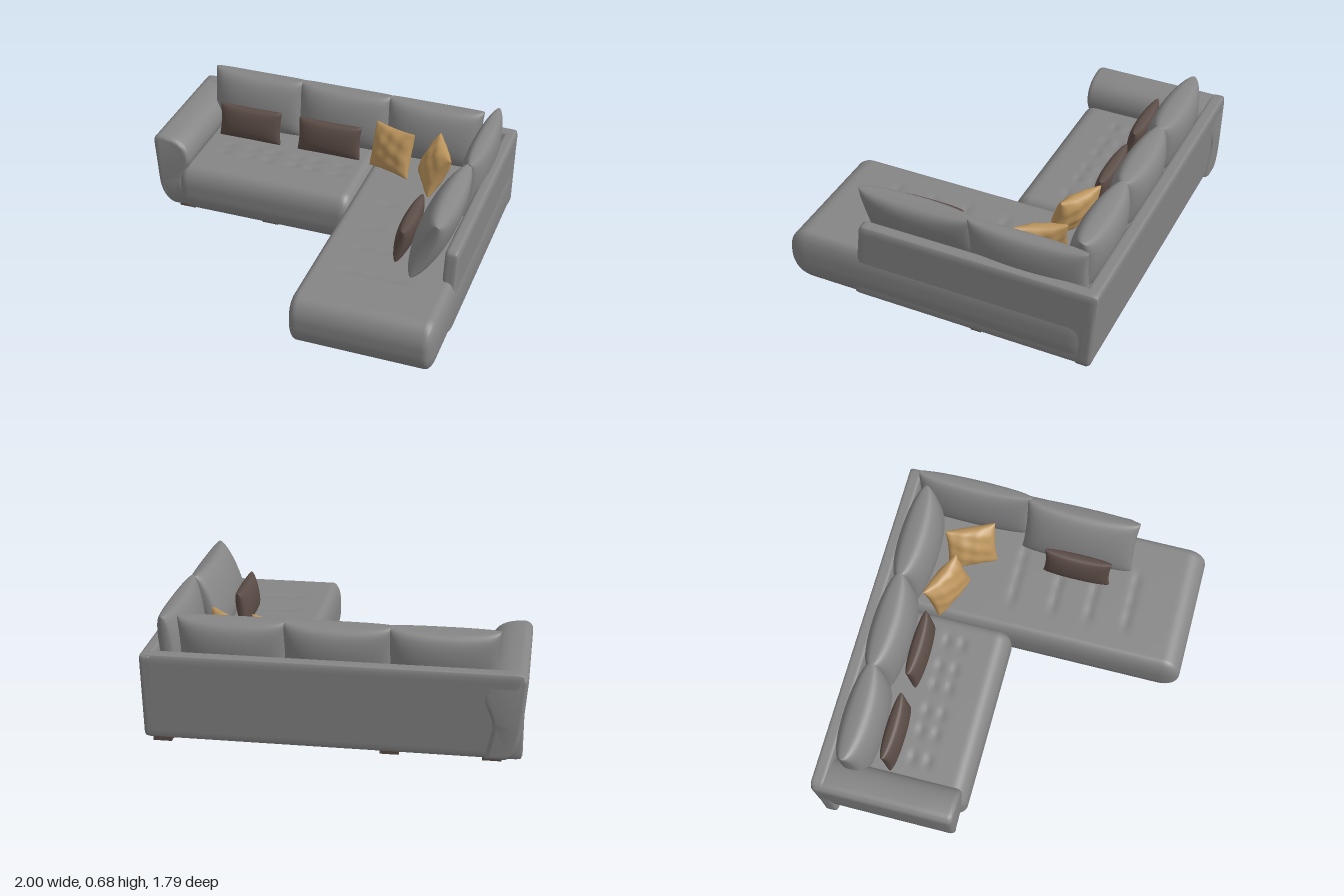
import * as THREE from 'three';
import { mergeVertices, toCreasedNormals } from 'three/addons/utils/BufferGeometryUtils.js';

const material = (name, color) => {
  const m = new THREE.MeshStandardMaterial({ color });
  m.name = name;
  return m;
};

// Moves every vertex by a rule, then welds and smooths the surface
function reshape(geometry, rule) {
  geometry.deleteAttribute('uv');
  geometry.deleteAttribute('normal');
  const p = geometry.attributes.position, v = new THREE.Vector3();
  for (let i = 0; i < p.count; i++) {
    v.fromBufferAttribute(p, i);
    rule(v);
    p.setXYZ(i, v.x, v.y, v.z);
  }
  const g = mergeVertices(geometry, 1e-5);
  g.computeVertexNormals();
  return g;
}

// Upholstered block between two corners, with its own rounding on each axis
function softBox(min, max, radius, segments, rule = () => {}) {
  const lo = new THREE.Vector3(...min), hi = new THREE.Vector3(...max);
  const size = hi.clone().sub(lo), mid = lo.clone().add(hi).multiplyScalar(0.5);
  const r = new THREE.Vector3(...radius);
  const inner = size.clone().multiplyScalar(0.5).sub(r);
  const core = new THREE.Vector3(), n = new THREE.Vector3();
  return reshape(new THREE.BoxGeometry(size.x, size.y, size.z, ...segments), (v) => {
    core.copy(v).clamp(inner.clone().negate(), inner);
    n.copy(v).sub(core).divide(r).normalize().multiply(r);
    v.copy(core).add(n).add(mid);
    rule(v);
  });
}

// Stuffed cushion: pointed corners, slightly hollow edges, full middle
function pillow(w, h, t, pinch, fullness, wrinkle = 0) {
  return reshape(new THREE.BoxGeometry(2, 2, 2, 28, 28, 1), (p) => {
    const u = Math.sin(p.x * Math.PI / 2), v = Math.sin(p.y * Math.PI / 2);
    const a = Math.max(0, 1 - u * u), b = Math.max(0, 1 - v * v);
    const fold = 1 + wrinkle * Math.sin(7 * u + 4 * v) * Math.cos(5 * v - 3 * u);
    p.set(w / 2 * u * (1 - pinch * b), h / 2 * v * (1 - pinch * a),
      Math.sign(p.z) * t / 2 * Math.pow(a * b, fullness) * fold);
  });
}

// Presses tufts into the top of a seat
const tuft = (points, sx, sz, depth) => (v) => {
  if (v.y < 0.25) return;
  for (const [x, z] of points) {
    v.y -= depth * Math.exp(-(((v.x - x) / sx) ** 2) - ((v.z - z) / sz) ** 2);
  }
};

export function createModel() {
  const group = new THREE.Group();
  const grey = material('greyFabric', 0x858585);
  const brown = material('brownFabric', 0x5a4b45);
  const gold = material('goldFabric', 0xba935b);

  const add = (name, geometry, mat, pos = [0, 0, 0], ry = 0, rx = 0, rz = 0) => {
    const mesh = new THREE.Mesh(geometry, mat);
    mesh.name = name;
    mesh.position.set(...pos);
    mesh.rotation.set(rx, ry, rz, 'YXZ');
    group.add(mesh);
  };

  // Main seat
  const seatTufts = [];
  for (const x of [-0.57, -0.29, -0.02]) {
    for (const dx of [-0.08, 0.08]) for (const z of [-0.43, -0.34]) seatTufts.push([x + dx, z]);
  }
  add('mainSeat', softBox([-0.85, 0.03, -0.86], [0.225, 0.332, -0.08], [0.06, 0.12, 0.09],
    [60, 16, 50], tuft(seatTufts, 0.035, 0.02, 0.01)), grey);

  // Chaise seat
  const chaiseTufts = [];
  for (const z of [-0.14, 0.1, 0.31, 0.53]) for (const x of [0.44, 0.56, 0.68]) chaiseTufts.push([x, z]);
  add('chaiseSeat', softBox([0.2, 0.03, -0.86], [0.995, 0.332, 0.895], [0.05, 0.13, 0.11],
    [50, 18, 100], tuft(chaiseTufts, 0.06, 0.02, 0.009)), grey);

  // Back wall, leaning outward toward the top
  const lean = (y) => 0.03 * (1 - (y - 0.03) / 0.48);
  add('backWall', softBox([-0.985, 0.03, -0.9], [0.99, 0.51, -0.82], [0.025, 0.02, 0.02],
    [60, 20, 10], (v) => { v.z += lean(v.y); }), grey);

  // Side wall with a sloping front edge
  add('sideWall', softBox([0.915, 0.03, -0.9], [0.992, 0.51, 0.44], [0.025, 0.025, 0.015],
    [10, 20, 60], (v) => {
      v.z += v.z > 0 ? lean(v.y) * (v.z / 0.44) * 2 : lean(v.y) * (-v.z / 0.9);
      v.x -= lean(v.y) * 0.2;
    }), grey);

  // Arm, rolled over on the inner side
  const profile = new THREE.Shape();
  profile.moveTo(-0.82, 0.055);
  profile.lineTo(-0.89, 0.055);
  profile.bezierCurveTo(-0.94, 0.07, -0.955, 0.18, -0.96, 0.28);
  profile.lineTo(-0.975, 0.46);
  profile.quadraticCurveTo(-0.975, 0.482, -0.95, 0.482);
  profile.bezierCurveTo(-0.87, 0.48, -0.8, 0.46, -0.8, 0.365);
  profile.bezierCurveTo(-0.81, 0.32, -0.85, 0.28, -0.85, 0.2);
  profile.closePath();
  const arm = new THREE.ExtrudeGeometry(profile, {
    depth: 0.73, steps: 4, curveSegments: 14,
    bevelEnabled: true, bevelThickness: 0.03, bevelSize: 0.025, bevelSegments: 5,
  });
  arm.translate(0, 0, -0.865);
  const ap = arm.attributes.position;
  for (let i = 0; i < ap.count; i++) {
    // Lower front edge tucks back
    if (ap.getZ(i) > -0.2) ap.setZ(i, ap.getZ(i) - 0.05 * Math.max(0, 1 - ap.getY(i) / 0.2) ** 2);
  }
  add('arm', toCreasedNormals(arm, 0.8), grey);

  // Back cushions along the back wall
  for (const x of [-0.565, -0.02, 0.53]) {
    add('backCushion', pillow(0.575, 0.36, 0.22, 0.04, 0.33), grey, [x, 0.498, -0.715], 0, -0.14);
  }
  // Cushions along the side wall
  add('sideCushion', pillow(0.66, 0.36, 0.16, 0.03, 0.33), grey, [0.865, 0.505, -0.475], -Math.PI / 2, -0.12);
  add('sideCushion', pillow(0.65, 0.37, 0.19, 0.03, 0.33), grey, [0.815, 0.505, 0.16], -Math.PI / 2, -0.36);

  // Small brown pillows
  for (const [x, z, ry] of [[-0.56, -0.545, 0], [-0.06, -0.545, 0], [0.65, 0.185, -Math.PI / 2]]) {
    add('brownPillow', pillow(0.39, 0.205, 0.1, 0.05, 0.34), brown, [x, 0.43, z], ry, -0.16);
  }

  // Crumpled gold pillows
  const goldShape = pillow(0.29, 0.27, 0.12, 0.07, 0.42, 0.12);
  add('goldPillow', goldShape, gold, [0.34, 0.46, -0.5], -0.45, -0.3, 0.08);
  add('goldPillow', goldShape, gold, [0.615, 0.455, -0.43], -1.08, -0.45, -0.06);

  // Underside panel beneath the chaise
  add('undersidePanel', new THREE.BoxGeometry(0.7, 0.008, 1.6), brown, [0.6, 0.027, 0.0]);

  // Low feet
  const foot = new THREE.BoxGeometry(0.1, 0.03, 0.06);
  for (const [x, z] of [[-0.83, -0.8], [-0.83, -0.21], [-0.3, -0.21], [-0.3, -0.8], [0.2, -0.21],
    [0.9, -0.81], [0.9, -0.21]]) {
    add('foot', foot, brown, [x, 0.015, z]);
  }
  const peg = new THREE.CylinderGeometry(0.014, 0.01, 0.03, 10);
  for (const z of [0.74, 0.55, 0.16]) for (const x of [0.3, 0.9]) add('peg', peg, brown, [x, 0.015, z]);

  return group;
}
